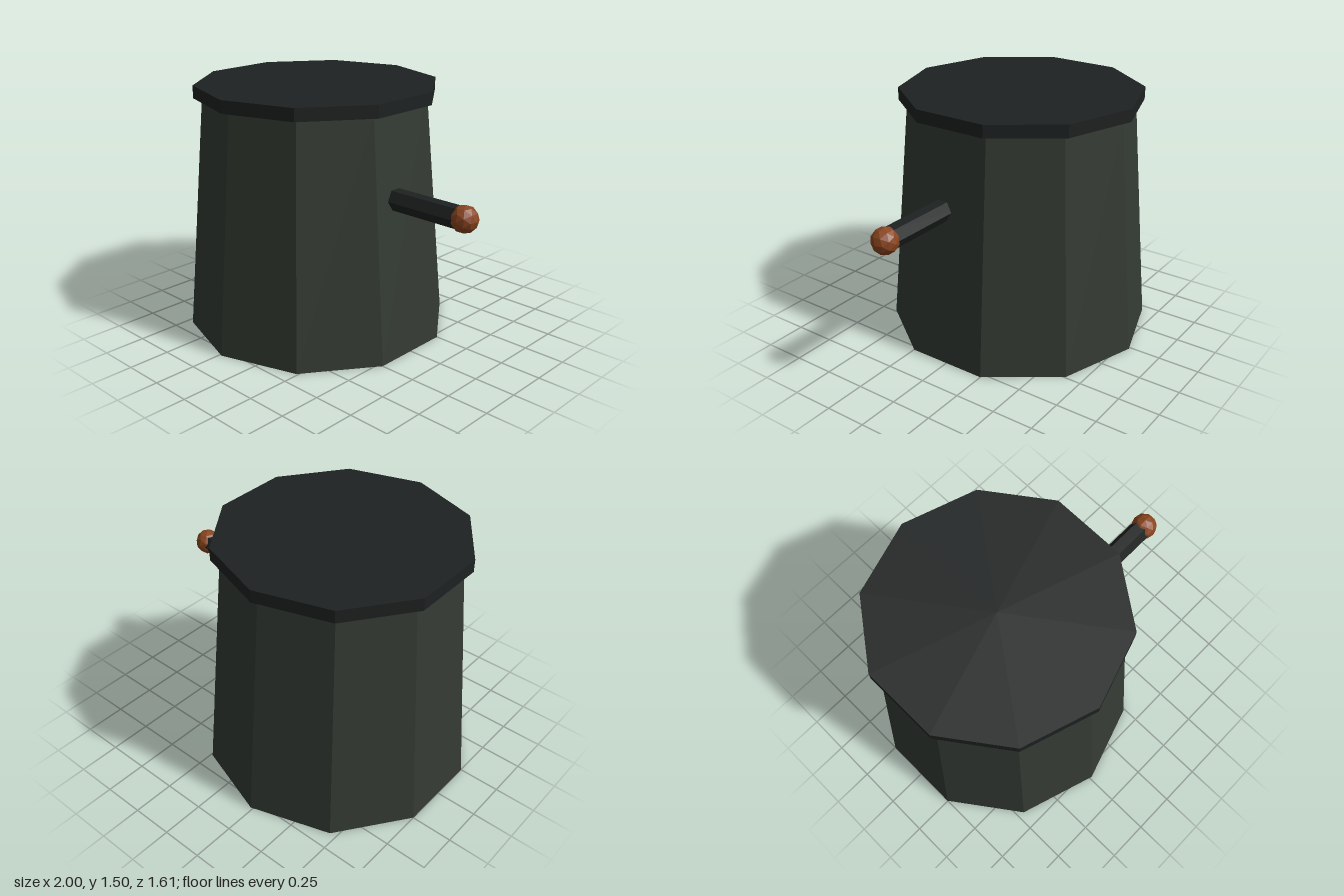
import * as THREE from 'three';

const paint = (color) => new THREE.MeshStandardMaterial({ color, flatShading: true });

export function createModel() {
  const model = new THREE.Group();
  const bodyPaint = paint(0x343a33);
  const darkPaint = paint(0x1e2121);
  const knobPaint = paint(0x8a451f);

  const add = (name, geometry, material, x, y, z) => {
    const mesh = new THREE.Mesh(geometry, material);
    mesh.name = name;
    mesh.position.set(x, y, z);
    model.add(mesh);
    return mesh;
  };

  // Tapered ten-sided body, with a corner facing front
  const bodyX = -0.235, bodyHeight = 1.43;
  add('body', new THREE.CylinderGeometry(0.675, 0.805, bodyHeight, 10), bodyPaint,
    bodyX, bodyHeight / 2, 0);

  // Overhanging lid
  const lidHeight = 0.075;
  add('lid', new THREE.CylinderGeometry(0.725, 0.725, lidHeight, 10), darkPaint,
    bodyX, bodyHeight + lidHeight / 2, 0);

  // Six-sided handle rod sticking out sideways, with a faceted knob on its end
  const rodY = 0.943, rodZ = 0.067, rodStart = 0.36, rodEnd = 0.9;
  const rod = new THREE.CylinderGeometry(0.065, 0.065, rodEnd - rodStart, 6).rotateZ(-Math.PI / 2);
  add('handle', rod, darkPaint, (rodStart + rodEnd) / 2, rodY, rodZ);
  add('knob', new THREE.IcosahedronGeometry(0.078, 1), knobPaint, 0.922, rodY, rodZ);

  return model;
}
